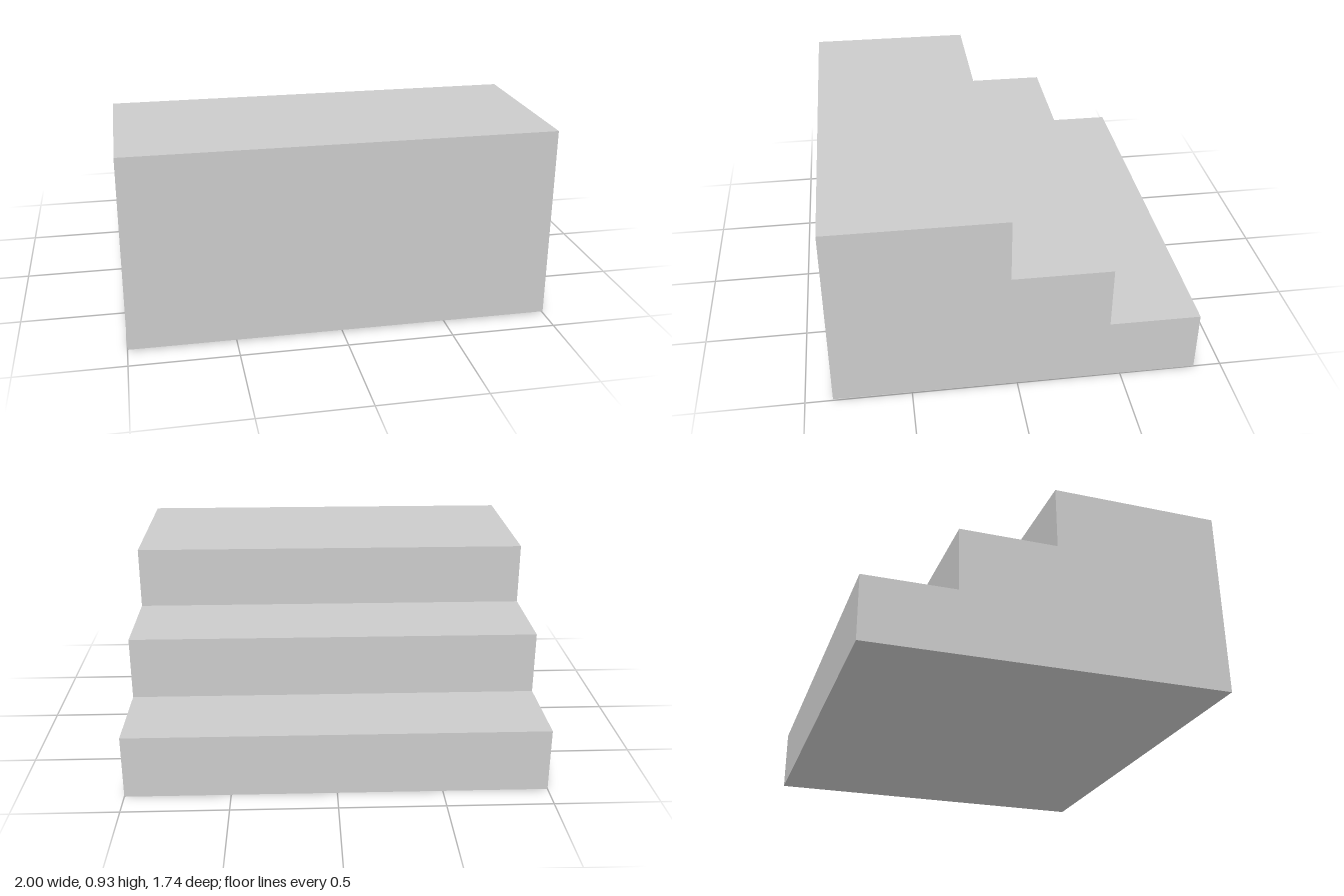
import * as THREE from 'three';

const WIDTH = 2, RISE = 0.308, FRONT = 0.87;

export function createModel() {
  const group = new THREE.Group();
  group.name = 'steps';
  const material = new THREE.MeshStandardMaterial({ color: 0xcccccc, flatShading: true });

  // Three stacked slabs, flush at the front, stepping down to the back
  const tiers = [['bottomStep', -0.867], ['middleStep', -0.433], ['topStep', 0.038]];
  tiers.forEach(([name, back], i) => {
    const step = new THREE.Mesh(new THREE.BoxGeometry(WIDTH, RISE, FRONT - back), material);
    step.name = name;
    step.position.set(0, RISE * (i + 0.5), (FRONT + back) / 2);
    group.add(step);
  });

  // The whole stack leans back very slightly, resting on its rear edge
  const tilt = 0.004;
  group.rotation.x = -tilt;
  group.position.y = 0.867 * tilt;

  const root = new THREE.Group();
  root.name = 'steppedBlock';
  root.add(group);
  return root;
}
